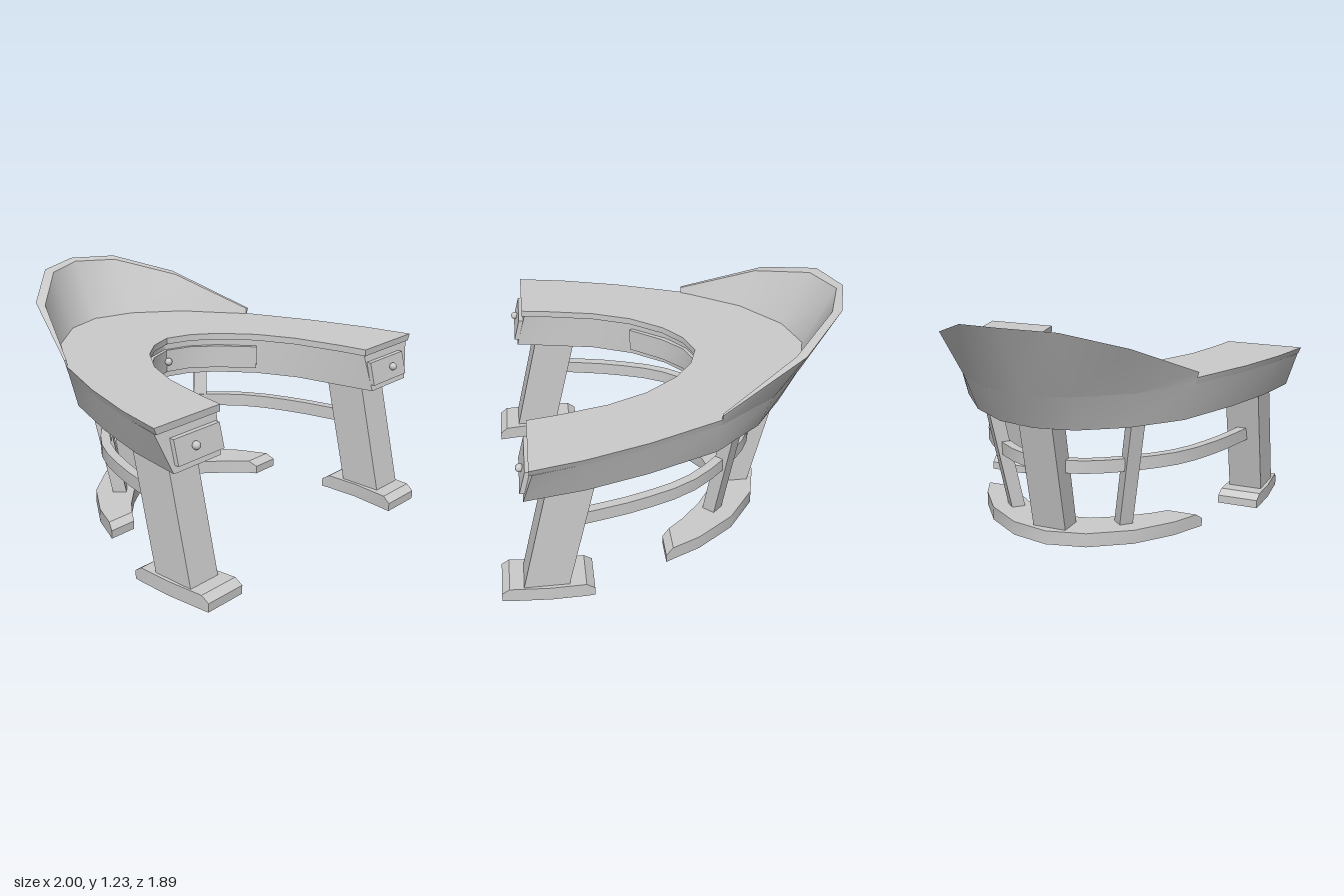
import * as THREE from 'three';
import { toCreasedNormals } from 'three/addons/utils/BufferGeometryUtils.js';

const material = new THREE.MeshStandardMaterial({ color: 0xcccccc });

// Joins a row of equal-sized rings of [x, y, z] corners into a closed, outward-facing solid
function loft(rings, crease = 0.6) {
  const tris = [];
  const n = rings[0].length;
  for (let i = 0; i + 1 < rings.length; i++) {
    for (let j = 0; j < n; j++) {
      const k = (j + 1) % n;
      const a = rings[i][j], b = rings[i][k], c = rings[i + 1][k], d = rings[i + 1][j];
      tris.push([a, b, c], [a, c, d]);
    }
  }
  const first = rings[0], last = rings[rings.length - 1];
  for (let j = 1; j + 1 < n; j++) {
    tris.push([first[0], first[j + 1], first[j]], [last[0], last[j], last[j + 1]]);
  }
  const v = (p) => new THREE.Vector3(...p);
  const volume = tris.reduce((s, [a, b, c]) => s + v(a).dot(v(b).cross(v(c))), 0);
  if (volume < 0) tris.forEach((t) => t.reverse());
  const geometry = new THREE.BufferGeometry();
  geometry.setAttribute('position', new THREE.Float32BufferAttribute(tris.flat(2), 3));
  return toCreasedNormals(geometry, crease);
}

// Completes a half row of rings (front left to centre back) with its mirror image
const flip = (ring) => ring.map(([x, y, z]) => [-x, y, z]);
const mirrored = (rings) => [...rings, ...rings.slice(0, -1).reverse().map(flip)];

// Section corners from plan curves of [x, z]: outer top, inner top, inner bottom, outer bottom
const at = ([x, z], y) => [x, y, z];
const band = (ot, it, ib, ob, yTop, yBottom) => ot.map((p, i) =>
  [at(p, yTop), at(it[i], yTop), at(ib[i], yBottom), at(ob[i], yBottom)]);

// Plinth section with a hollow underside of height h
function plinthRing(o, i, top, h) {
  const mix = (t) => [o[0] + (i[0] - o[0]) * t, o[1] + (i[1] - o[1]) * t];
  return [at(o, top), at(i, top), at(i, 0), at(mix(0.84), 0), at(mix(0.84), h),
    at(mix(0.16), h), at(mix(0.16), 0), at(o, 0)];
}

// Plan curves, from the front end to the middle of the back
const topOuter = [[1, 0.76], [0.945, 0.5], [0.85, 0.19], [0.7, -0.18], [0.48, -0.49], [0.235, -0.68], [0, -0.743]];
const topInner = [[0.575, 0.76], [0.55, 0.615], [0.49, 0.36], [0.4, 0.155], [0.267, -0.016], [0.14, -0.11], [0, -0.155]];
const bodyInner = [[0.585, 0.745], [0.565, 0.615], [0.51, 0.36], [0.412, 0.145], [0.275, -0.032], [0.145, -0.13], [0, -0.175]];
const bodyInnerLow = [[0.605, 0.797], ...bodyInner.slice(1)];
const bodyOuterLow = [[0.915, 0.797], [0.865, 0.5], [0.775, 0.19], [0.635, -0.17], [0.43, -0.42], [0.21, -0.575], [0, -0.62]];
const topOuterLow = topOuter.map(([x, z]) => [x * 0.985, z < 0 ? z * 0.985 : z]);
const bodyOuter = [[0.985, 0.745], ...topOuterLow.slice(1)];

export function createModel() {
  const model = new THREE.Group();
  const add = (name, geometry, parent = model) => {
    const mesh = new THREE.Mesh(geometry, material);
    mesh.name = name;
    parent.add(mesh);
    return mesh;
  };
  const knob = (name, x, y, z) => {
    add(name, new THREE.SphereGeometry(0.021, 12, 8)).position.set(x, y, z);
  };

  // Horseshoe worktop and the sloping body under it
  add('worktop', loft(mirrored(band(topOuter, topInner, topInner, topOuterLow, 0.895, 0.86))));
  add('deskBody', loft(mirrored(band(bodyOuter, bodyInner, bodyInnerLow, bodyOuterLow, 0.861, 0.665))));

  // Flared screen rising round the back
  const screenOuter = [[0.71, 0.925, -0.18], [0.525, 1.11, -0.625], [0.26, 1.21, -0.866], [0, 1.225, -0.943]];
  const screenInner = [[0.695, 0.925, -0.18], [0.5, 1.1, -0.577], [0.235, 1.197, -0.823], [0, 1.21, -0.908]];
  const screen = screenOuter.map((p, i) => {
    const [x, z] = topOuterLow[i + 3];
    return [p, screenInner[i], [x * 0.99, 0.86, z * 0.99], [x, 0.858, z]];
  });
  add('backScreen', loft(mirrored(screen)));

  // Curved centre drawer
  const drawerFace = [[0.395, 0.158], [0.26, -0.01], [0.14, -0.112], [0, -0.157]];
  const drawerBack = bodyInner.slice(3).map(([x, z]) => [x + 0.005, z - 0.005]);
  add('centreDrawer', loft(mirrored(band(drawerBack, drawerFace, drawerFace, drawerBack, 0.824, 0.7))));
  knob('centreKnob', 0, 0.762, -0.142);

  // Central back leg
  const boxRing = (x0, x1, y, z0, z1) => [[x0, y, z0], [x1, y, z0], [x1, y, z1], [x0, y, z1]];
  add('backLeg', loft([
    boxRing(-0.093, 0.093, 0.68, -0.6, -0.455),
    boxRing(-0.093, 0.093, 0.05, -0.445, -0.31)]));

  // Curved, chamfered, hollow rear plinth
  const baseOuter = [[0.66, 0.09], [0.64, 0.05], [0.57, -0.1], [0.42, -0.3], [0.21, -0.45], [0, -0.5]];
  const baseInner = [[0.5, 0.09], [0.475, 0.05], [0.405, -0.03], [0.28, -0.14], [0.14, -0.23], [0, -0.26]];
  const baseRings = baseOuter.map((o, i) =>
    plinthRing(o, baseInner[i], i ? 0.075 : 0.045, i > 1 ? 0.05 : 0));
  add('rearPlinth', loft(mirrored(baseRings)));

  // Front foot sections: z, outer x, inner x, top height, hollow height
  const foot = [[0.945, 0.845, 0.612, 0.045, 0], [0.905, 0.85, 0.617, 0.075, 0],
    [0.9, 0.85, 0.618, 0.075, 0.05], [0.7, 0.865, 0.64, 0.075, 0.05],
    [0.525, 0.862, 0.635, 0.075, 0.05], [0.52, 0.862, 0.635, 0.075, 0], [0.478, 0.858, 0.63, 0.045, 0]];
  const footRings = foot.map(([z, xo, xi, top, h]) => plinthRing([xo, z], [xi, z], top, h));

  // Slanted front leg and end drawer
  const legRings = [boxRing(0.658, 0.845, 0.68, 0.455, 0.685), boxRing(0.658, 0.845, 0.05, 0.61, 0.838)];
  const drawerRings = [boxRing(0.6, 0.9, 0.82, 0.735, 0.78), boxRing(0.6, 0.9, 0.7, 0.765, 0.812)];

  // Square strut set cornerwise on the rear plinth
  const diamond = (x, y, z, r = 0.053) => [[x + r, y, z], [x, y, z - r], [x - r, y, z], [x, y, z + r]];
  const strutRings = [diamond(0.418, 0.68, -0.293), diamond(0.318, 0.05, -0.207)];

  // Curved rail from the front leg to the back leg
  const railPath = new THREE.CatmullRomCurve3([[0.75, 0.54], [0.68, 0.25], [0.56, -0.04], [0.372, -0.25],
    [0.19, -0.385], [0, -0.44]].map(([x, z]) => new THREE.Vector3(x, 0, z)));
  const railRings = railPath.getPoints(12).map((p, i) => {
    const t = railPath.getTangent(i / 12);
    const dx = -t.z * 0.025, dz = t.x * 0.025;
    return [[p.x + dx, 0.457, p.z + dz], [p.x - dx, 0.457, p.z - dz],
      [p.x - dx, 0.387, p.z - dz], [p.x + dx, 0.387, p.z + dz]];
  });

  for (const side of [1, -1]) {
    const name = side > 0 ? 'left' : 'right';
    const place = (rings) => loft(side > 0 ? rings : rings.map(flip));
    add(name + 'FrontFoot', place(footRings));
    add(name + 'FrontLeg', place(legRings));
    add(name + 'EndDrawer', place(drawerRings));
    add(name + 'Strut', place(strutRings));
    add(name + 'Rail', place(railRings));
    knob(name + 'Knob', side * 0.78, 0.765, 0.805);
  }
  return model;
}
